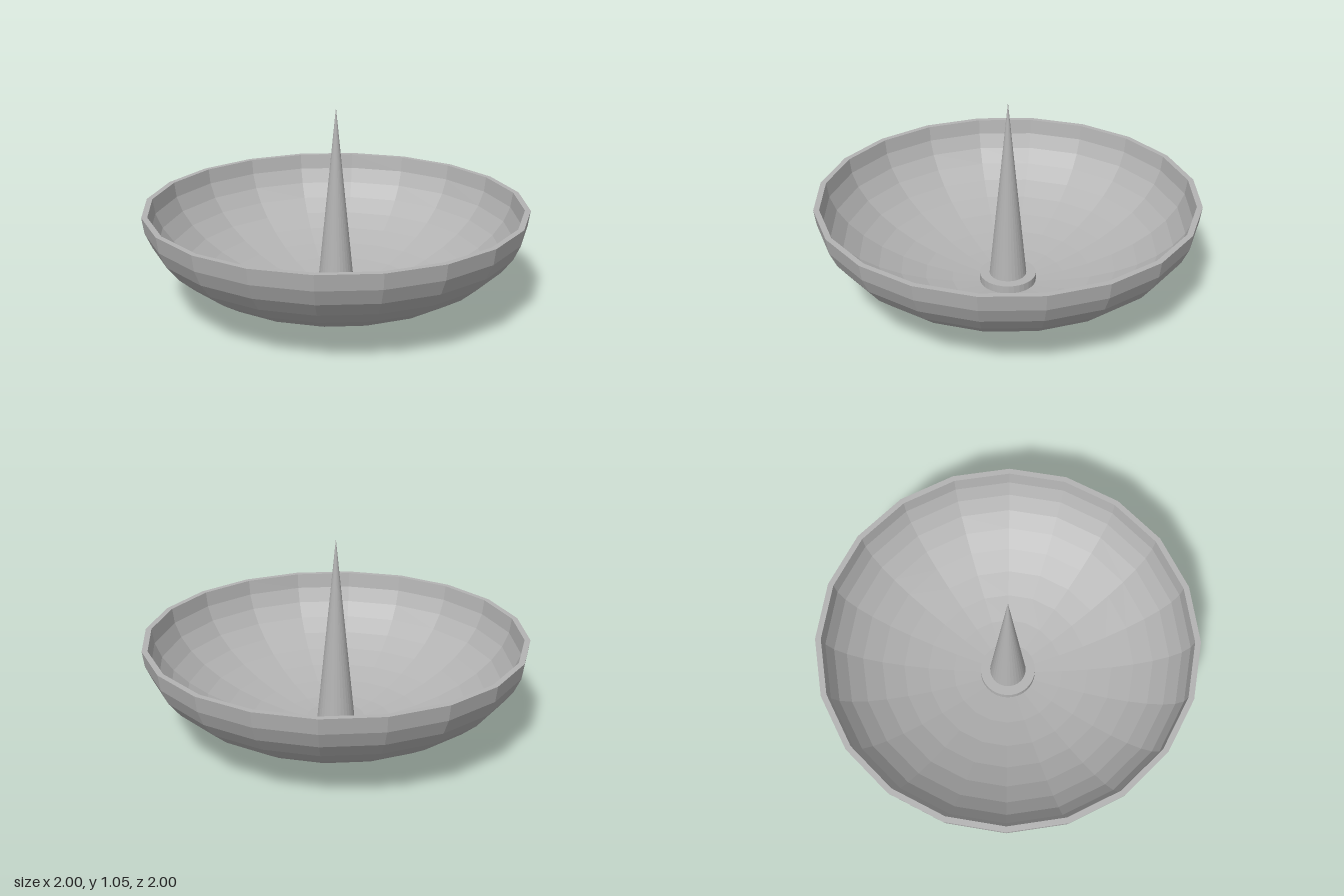
import * as THREE from 'three';

const SIDES = 20;      // facets around the bowl
const RIM_Y = 0.53;
const SQUASH = 0.53;   // height of the bowl's curve relative to its radius

// Squashed-sphere profile in 9 degree steps, from startStep up to the rim
function arc(radius, startStep) {
  const points = [];
  for (let i = startStep; i <= 10; i++) {
    const a = (i * Math.PI) / 20;
    points.push(new THREE.Vector2(radius * Math.sin(a), RIM_Y - radius * SQUASH * Math.cos(a)));
  }
  return points;
}

function addMesh(group, name, geometry, material, y = 0) {
  const mesh = new THREE.Mesh(geometry, material);
  mesh.name = name;
  mesh.position.y = y;
  group.add(mesh);
}

export function createModel() {
  const group = new THREE.Group();
  group.name = 'spikedBowl';
  const grey = new THREE.MeshStandardMaterial({ color: 0xb3b3b3, flatShading: true });
  grey.name = 'lightGrey';

  // Bowl: flat base, outer wall, flat rim and inner wall in one turned profile
  const outer = arc(1, 2);
  outer[0].y = 0;
  outer[1].y = 0.053;
  const inner = arc(0.97, 0).reverse();
  const base = new THREE.Vector2(0, 0);
  addMesh(group, 'bowl', new THREE.LatheGeometry([base, ...outer, ...inner], SIDES), grey);

  // Low round plate on the bowl's floor
  addMesh(group, 'spikePlate', new THREE.CylinderGeometry(0.15, 0.15, 0.05, 32), grey, 0.04);

  // Tall spike
  addMesh(group, 'spike', new THREE.ConeGeometry(0.1, 1, 32), grey, 0.548);

  return group;
}
